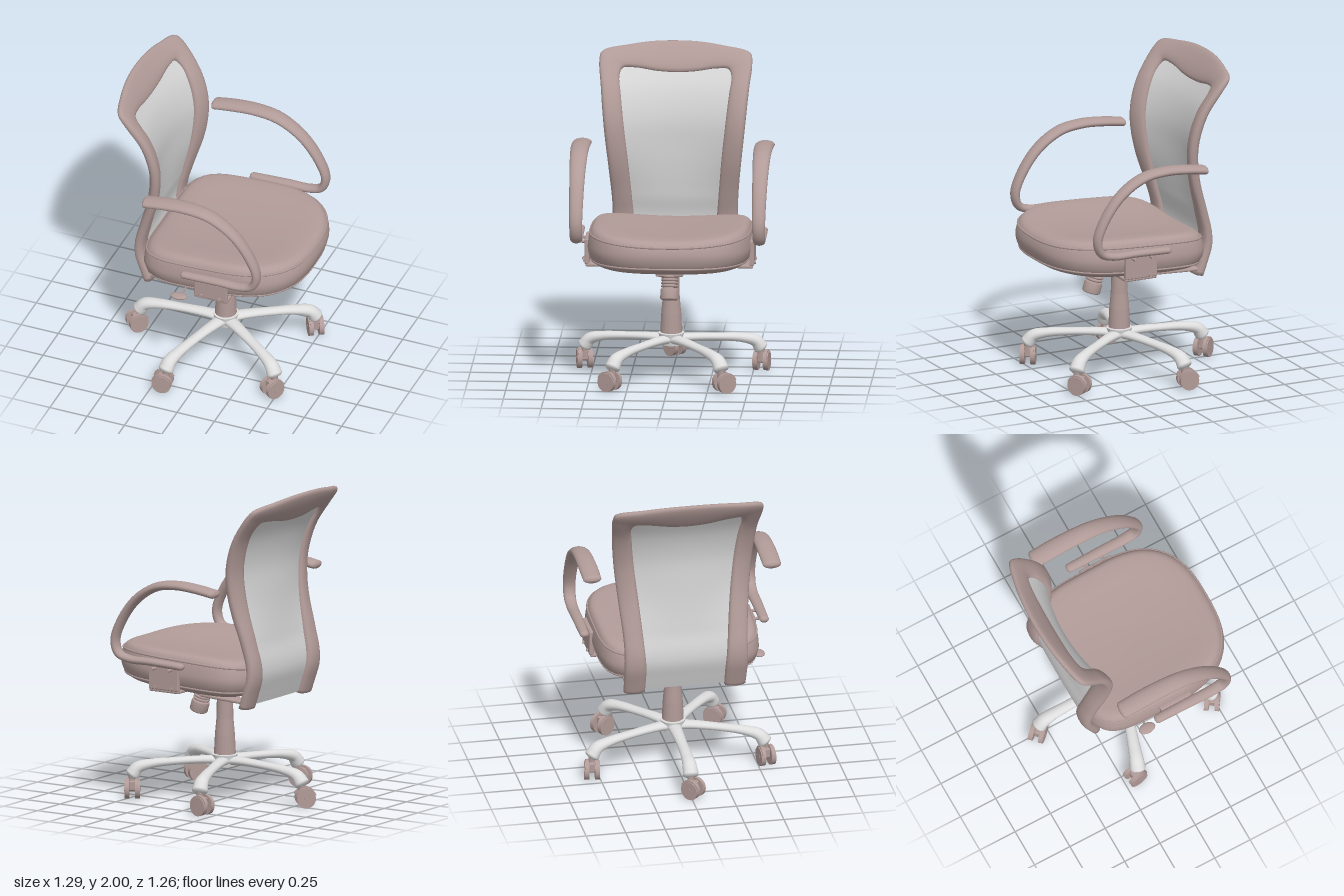
import * as THREE from 'three';
import { RoundedBoxGeometry } from 'three/addons/geometries/RoundedBoxGeometry.js';

const V = (x, y, z) => new THREE.Vector3(x, y, z);
const TAU = Math.PI * 2;

// Skin closed loops of points into one smooth surface
function skin(loops) {
  const n = loops[0].length, pos = [], idx = [];
  for (const loop of loops) for (const p of loop) pos.push(p.x, p.y, p.z);
  for (let i = 0; i < loops.length - 1; i++) for (let j = 0; j < n; j++) {
    const k = (j + 1) % n, a = i * n + j, b = i * n + k, c = b + n, d = a + n;
    idx.push(a, b, c, a, c, d);
  }
  const g = new THREE.BufferGeometry();
  g.setAttribute('position', new THREE.Float32BufferAttribute(pos, 3));
  g.setIndex(idx);
  g.computeVertexNormals();
  return g;
}

// Elliptical sweep in the xy plane; each key is [x, y, half thickness, half width in z]
function sweep(keys, steps = 48, sides = 16) {
  const path = new THREE.CatmullRomCurve3(keys.map(k => V(k[0], k[1], 0)));
  const size = new THREE.CatmullRomCurve3(keys.map(k => V(k[2], k[3], 0)));
  const ring = (t, s, push) => {
    const p = path.getPoint(t), d = path.getTangent(t), q = size.getPoint(t);
    return Array.from({ length: sides }, (_, j) => {
      const a = j / sides * TAU, h = Math.cos(a) * q.x * s;
      return V(p.x - d.y * h + d.x * push, p.y + d.x * h + d.y * push, Math.sin(a) * q.y * s);
    });
  };
  const loops = [ring(0, 0, -0.02), ring(0, 0.6, -0.016), ring(0, 0.9, -0.008)];
  for (let i = 0; i <= steps; i++) loops.push(ring(i / steps, 1, 0));
  loops.push(ring(1, 0.9, 0.008), ring(1, 0.6, 0.016), ring(1, 0, 0.02));
  return skin(loops);
}

// Smooth interpolation in a table of [key, value]
function interp(table, y) {
  const n = table.length;
  let i = 0;
  while (i < n - 2 && y > table[i + 1][0]) i++;
  const slope = k => {
    const a = table[Math.max(0, k - 1)], b = table[Math.min(n - 1, k + 1)];
    return (b[1] - a[1]) / (b[0] - a[0]);
  };
  const [y0, v0] = table[i], [y1, v1] = table[i + 1], h = y1 - y0;
  const t = Math.min(1, Math.max(0, (y - y0) / h)), t2 = t * t, t3 = t2 * t;
  return v0 * (2 * t3 - 3 * t2 + 1) + v1 * (3 * t2 - 2 * t3) + h * (slope(i) * (t3 - 2 * t2 + t) + slope(i + 1) * (t3 - t2));
}

// Curved sheet of the backrest: side profile, and how far its middle sits behind
const sideX = [[0.66, -0.35], [0.75, -0.38], [0.85, -0.41], [0.95, -0.405], [1.08, -0.365], [1.25, -0.305],
  [1.4, -0.28], [1.55, -0.29], [1.72, -0.35], [1.87, -0.455], [1.93, -0.505], [2.0, -0.56]];
const hollow = [[0.66, 0.01], [1.0, 0.01], [1.1, 0.03], [1.25, 0.07], [1.4, 0.09], [1.6, 0.08], [1.8, 0.06], [2.0, 0.03]];
const backPoint = (z, y) => V(interp(sideX, y) - interp(hollow, y) * (1 - (z / 0.43) ** 2), y, z);
const outerEdge = [[0.385, 0.66], [0.39, 0.8], [0.39, 1.0], [0.41, 1.25], [0.435, 1.5], [0.46, 1.75], [0.475, 1.89],
  [0.462, 1.938], [0.3, 1.972], [0.15, 1.99], [0, 1.995]];
const innerEdge = [[0.25, 0.66], [0.25, 0.8], [0.265, 1.0], [0.287, 1.25], [0.315, 1.5], [0.337, 1.7], [0.348, 1.8],
  [0.33, 1.843], [0.25, 1.845], [0.12, 1.825], [0, 1.818]];

function backFrame() {
  const curve = e => new THREE.CatmullRomCurve3([...e, ...e.slice(0, -1).reverse().map(([z, y]) => [-z, y])]
    .map(([z, y]) => V(z, y, 0)));
  const outer = curve(outerEdge), inner = curve(innerEdge), steps = 120, sides = 20, e = 0.01;
  const ring = (t, s) => Array.from({ length: sides }, (_, j) => {
    const a = j / sides * TAU, c = Math.cos(a), n = Math.sin(a);
    const q = inner.getPoint(t).lerp(outer.getPoint(t), 0.5 + 0.5 * s * c);
    const p = backPoint(q.x, q.y);
    const dy = (backPoint(q.x, q.y + e).x - backPoint(q.x, q.y - e).x) / (2 * e);
    const dz = (backPoint(q.x + e, q.y).x - backPoint(q.x - e, q.y).x) / (2 * e);
    const h = 0.034 - 0.01 * Math.max(0, (q.y - 1.6) / 0.4);
    return p.addScaledVector(V(1, -dy, -dz).normalize(), Math.sign(n) * Math.abs(n) ** 0.7 * h * s);
  });
  const loops = [ring(0, 0)];
  for (let i = 0; i <= steps; i++) loops.push(ring(i / steps, 1));
  loops.push(ring(1, 0));
  return skin(loops);
}

function backMesh() {
  const g = new THREE.PlaneGeometry(2, 1, 24, 40), p = g.attributes.position;
  const half = innerEdge.slice(0, 7).map(([z, y]) => [y, z]);
  for (let i = 0; i < p.count; i++) {
    const y = 0.67 + (p.getY(i) + 0.5) * 1.2;
    const q = backPoint(p.getX(i) * (interp(half, y) + 0.02), y);
    p.setXYZ(i, q.x, q.y, q.z);
  }
  g.computeVertexNormals();
  return g;
}

// Seat outline: squarer at the back, rounder at the front
function seatRing(scale, y, count = 72) {
  return Array.from({ length: count }, (_, j) => {
    const a = j / count * TAU, s = Math.sin(a), c = Math.cos(a), n = s > 0 ? 2.7 : 5;
    const r = scale / (Math.abs(s) ** n + Math.abs(c) ** n) ** (1 / n);
    const x = 0.12 + s * r * 0.52, z = c * r * 0.51;
    const crown = THREE.MathUtils.smoothstep(y, 0.86, 0.95) * 0.04 * (z / 0.5) ** 2;
    return V(x, y + crown + 0.045 * (x - 0.1), z);
  });
}

export function createModel() {
  const model = new THREE.Group();
  const mat = color => new THREE.MeshStandardMaterial({ color });
  const leather = mat(0xb19b98), metal = mat(0xdcdddc), netting = mat(0xd6d6d6);
  leather.name = 'mauve upholstery';
  metal.name = 'light metal';
  netting.name = 'grey netting';
  netting.side = THREE.DoubleSide;
  const add = (name, geo, material = leather, pos = [0, 0, 0], parent = model) => {
    const m = new THREE.Mesh(geo, material);
    m.name = name;
    m.position.set(...pos);
    parent.add(m);
    return m;
  };
  const box = (w, h, d, r = 0.008) => new RoundedBoxGeometry(w, h, d, 2, r);
  const cyl = (a, b, h) => new THREE.CylinderGeometry(a, b, h, 28);

  // Backrest
  add('backFrame', backFrame());
  add('backNetting', backMesh(), netting);

  // Seat cushion with piping
  const profile = new THREE.CatmullRomCurve3([[0, 0.725], [0.6, 0.73], [0.88, 0.75], [0.965, 0.79], [1, 0.855], [0.975, 0.915],
    [0.92, 0.947], [0.8, 0.96], [0.5, 0.96], [0, 0.957]].map(p => V(p[0], p[1], 0)));
  add('seatCushion', skin(Array.from({ length: 41 }, (_, i) => {
    const p = profile.getPoint(i / 40);
    return seatRing(Math.max(0, p.x), p.y);
  })));
  for (const [s, y] of [[0.972, 0.918], [0.955, 0.782]])
    add('seatPiping', new THREE.TubeGeometry(new THREE.CatmullRomCurve3(seatRing(s, y), true), 144, 0.007, 6, true));

  // Armrests with brackets and bolts
  const armKeys = [[-0.28, 1.41, 0.027, 0.058], [-0.15, 1.428, 0.028, 0.06], [0, 1.435, 0.028, 0.058], [0.15, 1.41, 0.028, 0.054],
    [0.3, 1.315, 0.028, 0.048], [0.41, 1.17, 0.028, 0.043], [0.457, 1.04, 0.027, 0.04], [0.43, 0.96, 0.026, 0.038],
    [0.35, 0.932, 0.024, 0.036], [0.2, 0.93, 0.023, 0.034], [-0.03, 0.922, 0.022, 0.03]];
  for (const side of [1, -1]) {
    add('armrest', sweep(armKeys, 64), leather, [0, 0, side * 0.568]);
    add('armBracket', box(0.22, 0.16, 0.03), leather, [0.13, 0.83, side * 0.512]);
    add('armBracketFoot', box(0.22, 0.02, 0.27), leather, [0.13, 0.745, side * 0.385]);
    for (const x of [0.07, 0.19]) {
      add('armBolt', cyl(0.01, 0.01, 0.05), leather, [x, 0.885, side * 0.545]).rotation.x = Math.PI / 2;
      add('bracketBolt', cyl(0.01, 0.01, 0.012), leather, [x, 0.765, side * 0.53]).rotation.x = Math.PI / 2;
      add('footBolt', cyl(0.012, 0.012, 0.012), leather, [x, 0.731, side * 0.33]);
    }
    add('backBracket', box(0.32, 0.02, 0.1), leather, [-0.2, 0.705, side * 0.32]).rotation.z = 0.05;
  }

  // Tilt mechanism, spring and tension knob
  add('mechanism', box(0.3, 0.07, 0.17), leather, [0.07, 0.705, 0]);
  add('rearCrossbar', box(0.07, 0.025, 0.72), leather, [-0.32, 0.7, 0]);
  add('mechanismSpine', box(0.4, 0.025, 0.12), leather, [-0.15, 0.7, 0]).rotation.z = 0.05;
  const tension = new THREE.Group();
  tension.name = 'tensionAdjuster';
  tension.position.set(0.155, 0.73, 0);
  tension.rotation.z = 0.3;
  model.add(tension);
  add('springCore', cyl(0.04, 0.04, 0.14), leather, [0, -0.07, 0], tension);
  for (let i = 0; i < 7; i++)
    add('springCoil', new THREE.TorusGeometry(0.045, 0.009, 8, 28), leather, [0, -0.015 - i * 0.019, 0], tension).rotation.x = Math.PI / 2;
  add('tensionKnob', new THREE.LatheGeometry([[0, -0.215], [0.048, -0.215], [0.057, -0.207], [0.057, -0.15], [0.05, -0.142], [0, -0.142]]
    .map(p => new THREE.Vector2(...p)), 24), leather, [0, 0, 0], tension);

  // Height lever
  add('leverRod', new THREE.TubeGeometry(new THREE.CatmullRomCurve3([V(-0.06, 0.7, 0.05), V(-0.07, 0.705, 0.3), V(-0.08, 0.715, 0.5)]), 16, 0.007, 8));
  add('leverPaddle', new THREE.SphereGeometry(1, 20, 12), leather, [-0.08, 0.718, 0.525]).scale.set(0.055, 0.014, 0.036);

  // Gas column
  add('columnCover', new THREE.LatheGeometry([[0, 0.26], [0.068, 0.28], [0.062, 0.4], [0.053, 0.5], [0.05, 0.63], [0, 0.635]]
    .map(p => new THREE.Vector2(...p)), 32).toNonIndexed(), leather, [0.02, 0, 0]).geometry.computeVertexNormals();
  add('columnRod', cyl(0.024, 0.024, 0.1), leather, [0.02, 0.665, 0]);

  // Five-legged base with twin-wheel casters
  add('baseHub', cyl(0.08, 0.065, 0.075), metal, [0.02, 0.238, 0]);
  const legKeys = [[0.0, 0.235, 0.03, 0.05], [0.12, 0.24, 0.026, 0.04], [0.3, 0.232, 0.024, 0.034], [0.45, 0.218, 0.029, 0.038],
    [0.54, 0.193, 0.038, 0.045], [0.575, 0.15, 0.046, 0.05]];
  const legGeo = sweep(legKeys, 32);
  const casterYaw = [0.75, 0.15, 1.0, -1.0, -0.15];
  for (let i = 0; i < 5; i++) {
    const angle = Math.PI + i * TAU / 5;
    const leg = add('baseLeg', legGeo, metal, [0.02, 0, 0]);
    leg.rotation.y = angle;
    const caster = new THREE.Group();
    caster.name = 'caster';
    caster.position.set(0.02 + 0.575 * Math.cos(angle), 0, -0.575 * Math.sin(angle));
    caster.rotation.y = casterYaw[i];
    model.add(caster);
    add('casterStem', cyl(0.022, 0.022, 0.07), leather, [0, 0.115, 0], caster);
    add('casterHousing', box(0.07, 0.06, 0.04), leather, [-0.015, 0.085, 0], caster);
    add('casterAxle', cyl(0.015, 0.015, 0.1), leather, [-0.02, 0.06, 0], caster).rotation.x = Math.PI / 2;
    for (const s of [1, -1]) {
      add('casterWheel', cyl(0.06, 0.06, 0.03), leather, [-0.02, 0.06, s * 0.033], caster).rotation.x = Math.PI / 2;
      add('casterHood', new THREE.CylinderGeometry(0.068, 0.068, 0.022, 20, 1, false, 0, Math.PI * 0.8), leather,
        [-0.02, 0.06, s * 0.03], caster).rotation.set(Math.PI / 2, 1.9, 0);
    }
  }
  return model;
}
